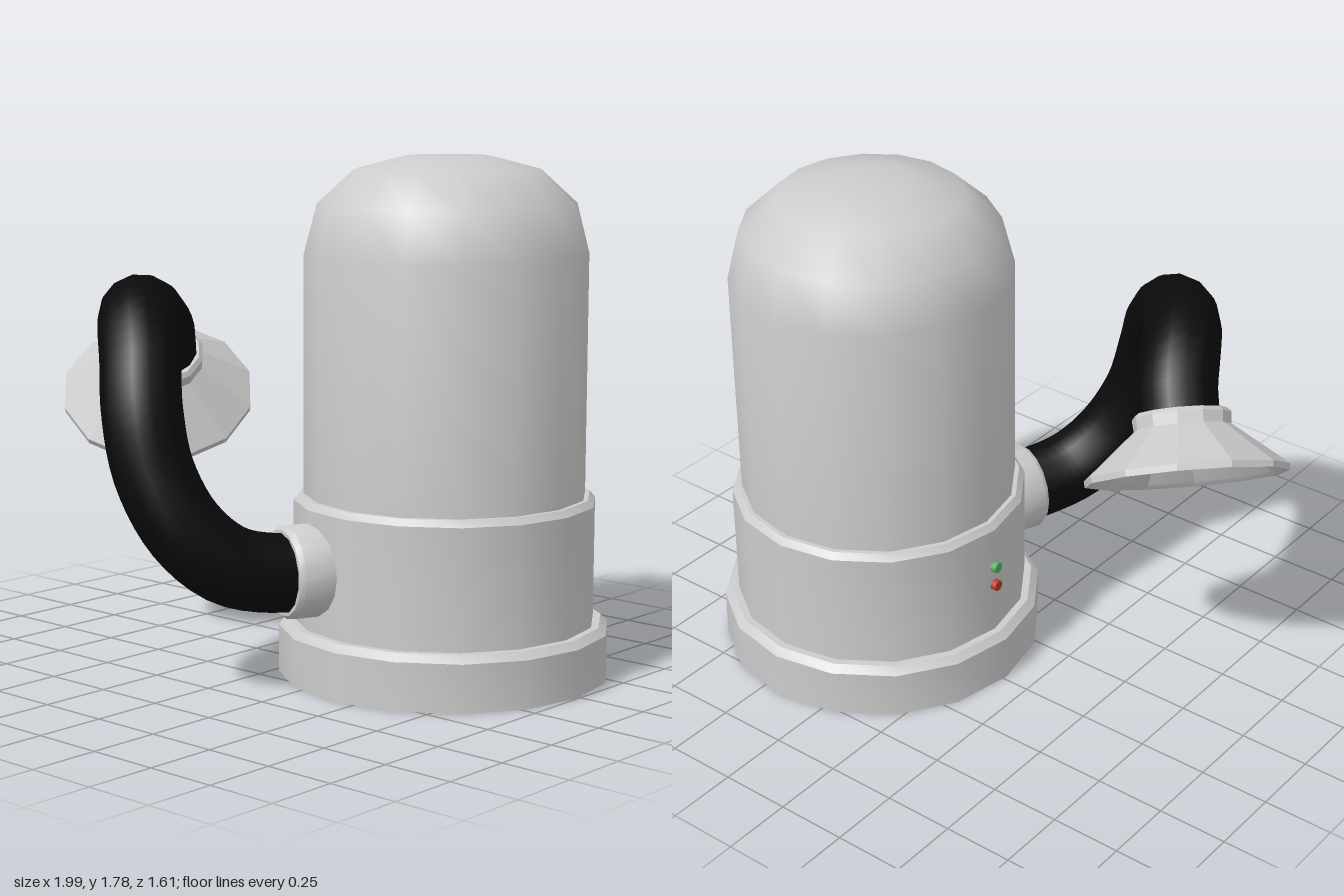
import * as THREE from 'three';
import { toCreasedNormals } from 'three/addons/utils/BufferGeometryUtils.js';

const UP = new THREE.Vector3(0, 1, 0);
const paint = (color = 0xcccccc, extra = {}) => new THREE.MeshStandardMaterial({ color, ...extra });

// Revolved part from [radius, height] pairs, softened except at sharp edges
function turned(name, profile, sides, crease = 0.7, material = paint()) {
  const points = profile.map(([r, y]) => new THREE.Vector2(r, y));
  const geometry = toCreasedNormals(new THREE.LatheGeometry(points, sides), crease);
  const mesh = new THREE.Mesh(geometry, material);
  mesh.name = name;
  return mesh;
}

// Place a revolved part at a point with its axis along a direction
function aim(mesh, position, direction) {
  mesh.position.copy(position);
  mesh.quaternion.setFromUnitVectors(UP, direction);
  return mesh;
}

export function createModel() {
  const model = new THREE.Group();
  model.name = 'fumeExtractor';

  // Canister: stepped base, middle band and domed housing
  const body = new THREE.Group();
  body.name = 'body';
  body.position.set(0.425, 0, -0.235);
  body.add(
    turned('base', [[0, 0], [0.573, 0], [0.573, 0.165], [0.548, 0.19], [0, 0.19]], 16),
    turned('middleBand', [[0.522, 0.18], [0.522, 0.605], [0.503, 0.627], [0.47, 0.627]], 16),
    turned('domedHousing', [[0.487, 0.6], [0.487, 1.45], [0.443, 1.62], [0.318, 1.735], [0.145, 1.78], [0, 1.78]], 16),
  );

  // Indicator lights on the right side
  for (const [name, y, color] of [['greenLight', 0.455, 0x55b060], ['redLight', 0.38, 0xc0392b]]) {
    const light = new THREE.Mesh(new THREE.CylinderGeometry(0.02, 0.02, 0.05, 10), paint(color));
    light.name = name;
    light.rotation.z = Math.PI / 2;
    light.position.set(-0.515, y, 0);
    body.add(light);
  }
  model.add(body);

  // Outlet collar, pointing radially out of the middle band
  const outletDir = new THREE.Vector3(-0.383, 0, 0.924).normalize();
  const outlet = new THREE.Vector3(0.425, 0.4, -0.235).addScaledVector(outletDir, 0.45);
  model.add(aim(
    turned('outletCollar', [[0.16, 0], [0.16, 0.15], [0.147, 0.168], [0.12, 0.168]], 16),
    outlet, outletDir,
  ));

  // Bent flexible hose
  const path = new THREE.CatmullRomCurve3([
    [0.23, 0.4, 0.235], [0.18, 0.4, 0.35], [0.1, 0.44, 0.5], [0.01, 0.56, 0.61],
    [-0.08, 0.75, 0.665], [-0.14, 0.95, 0.66], [-0.21, 1.11, 0.6], [-0.31, 1.21, 0.515],
    [-0.41, 1.235, 0.41], [-0.49, 1.2, 0.285], [-0.54, 1.135, 0.2], [-0.585, 1.06, 0.15],
  ].map((p) => new THREE.Vector3(...p)));
  const hose = new THREE.Mesh(
    new THREE.TubeGeometry(path, 40, 0.136, 14),
    paint(0x0a0a0a, { side: THREE.DoubleSide }),
  );
  hose.name = 'hose';
  model.add(hose);

  // Open funnel hood: neck and flared cone with a thin wall
  const hoodDir = new THREE.Vector3(-0.43, -0.79, -0.43).normalize();
  const hoodProfile = [
    [0.135, 0.03], [0.32, 0.2], [0.345, 0.212], [0.347, 0.19],
    [0.165, 0.04], [0.168, 0], [0.155, -0.015], [0.13, -0.015], [0.135, 0.03],
  ];
  model.add(aim(
    turned('hood', hoodProfile, 12, 0.3, paint(0xcccccc, { side: THREE.DoubleSide })),
    new THREE.Vector3(-0.59, 1.06, 0.155), hoodDir,
  ));

  return model;
}
